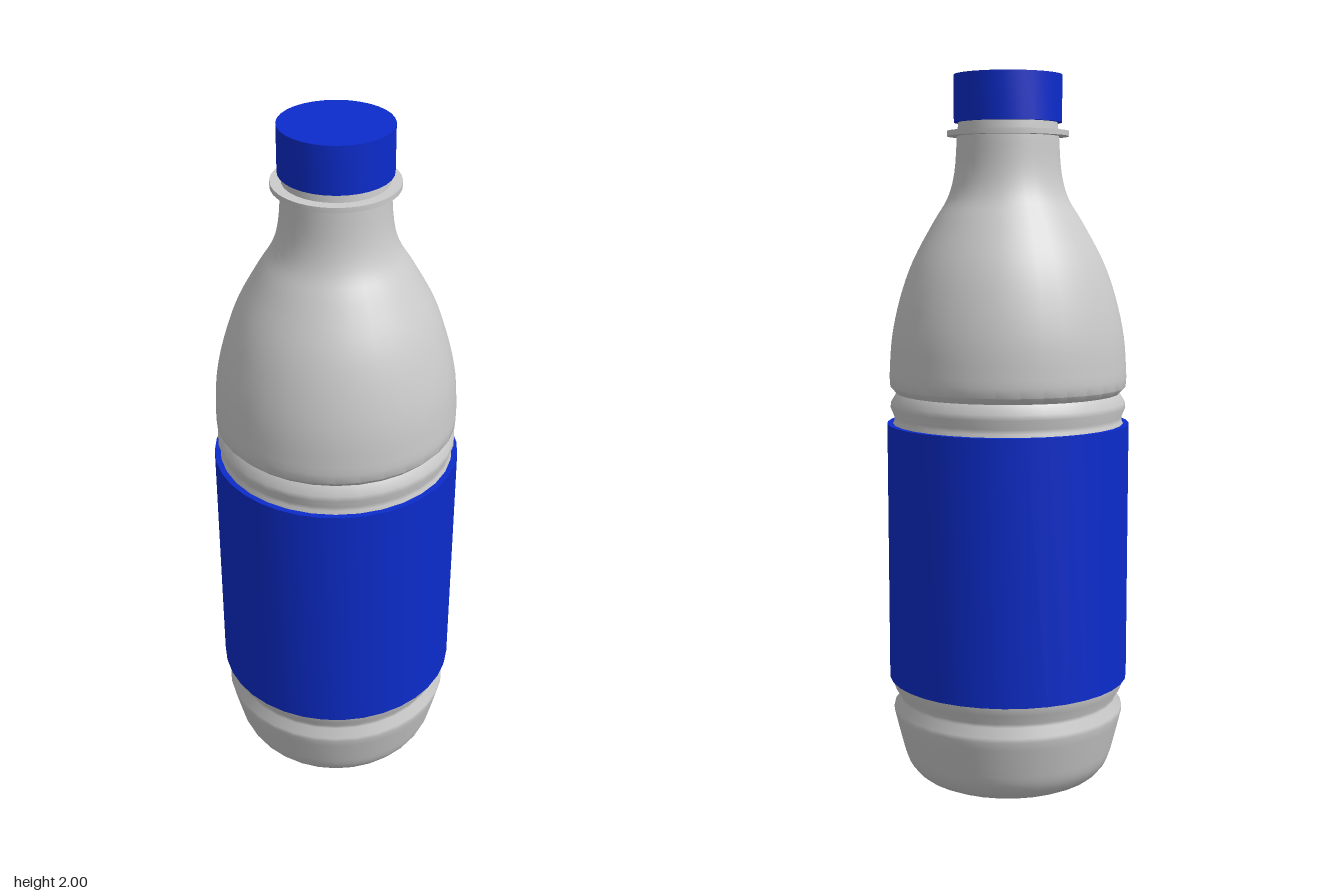
import * as THREE from 'three';
import { toCreasedNormals } from 'three/addons/utils/BufferGeometryUtils.js';

const grey = new THREE.MeshStandardMaterial({ color: 0xcccccc, side: THREE.DoubleSide });
const blue = new THREE.MeshStandardMaterial({ color: 0x0c2ccc, side: THREE.DoubleSide });

// Revolves [radius, height] pairs, listed from bottom to top on the outside
function lathe(name, profile, material, sides) {
  const points = profile.map(([r, y]) => new THREE.Vector2(r, y));
  const geometry = toCreasedNormals(new THREE.LatheGeometry(points, sides), 0.7);
  const mesh = new THREE.Mesh(geometry, material);
  mesh.name = name;
  return mesh;
}

// Smooth run of profile points through a few control points
function smooth(points, steps) {
  const curve = new THREE.SplineCurve(points.map(([r, y]) => new THREE.Vector2(r, y)));
  return curve.getPoints(steps).map((p) => [p.x, p.y]);
}

export function createModel() {
  const bottle = new THREE.Group();
  bottle.name = 'bottle';

  // Slightly domed base, rounded foot and lower groove
  const base = [
    [0, 0], [0.12, 0.012],
    ...smooth([[0.2, 0.024], [0.255, 0.045], [0.288, 0.085], [0.305, 0.14], [0.326, 0.225]], 12),
    [0.326, 0.238], [0.308, 0.262], [0.308, 0.272], [0.326, 0.3], [0.328, 0.33],
  ];
  // Upper grooves above the label
  const waist = [
    [0.328, 1.04], [0.318, 1.058], [0.318, 1.07], [0.328, 1.095],
    [0.327, 1.11], [0.312, 1.135], [0.328, 1.152],
  ];
  // Shoulder sweeping into the neck
  const shoulder = smooth([
    [0.33, 1.18], [0.322, 1.29], [0.298, 1.4], [0.262, 1.5], [0.205, 1.605],
    [0.166, 1.67], [0.147, 1.74], [0.14, 1.835],
  ], 28);
  bottle.add(lathe('body', [...base, ...waist, ...shoulder, [0.135, 1.88]], grey, 32));

  // Collar below the cap
  bottle.add(lathe('neckRing', [
    [0.135, 1.836], [0.167, 1.836], [0.167, 1.85], [0.135, 1.85],
  ], grey, 32));

  // Label sleeve with thin closed rims
  bottle.add(lathe('label', [
    [0.318, 0.325], [0.338, 0.325], [0.338, 1.05], [0.318, 1.05],
  ], blue, 36));

  // Screw cap
  bottle.add(lathe('cap', [[0, 1.873], [0.148, 1.873], [0.148, 2], [0, 2]], blue, 32));

  return bottle;
}
